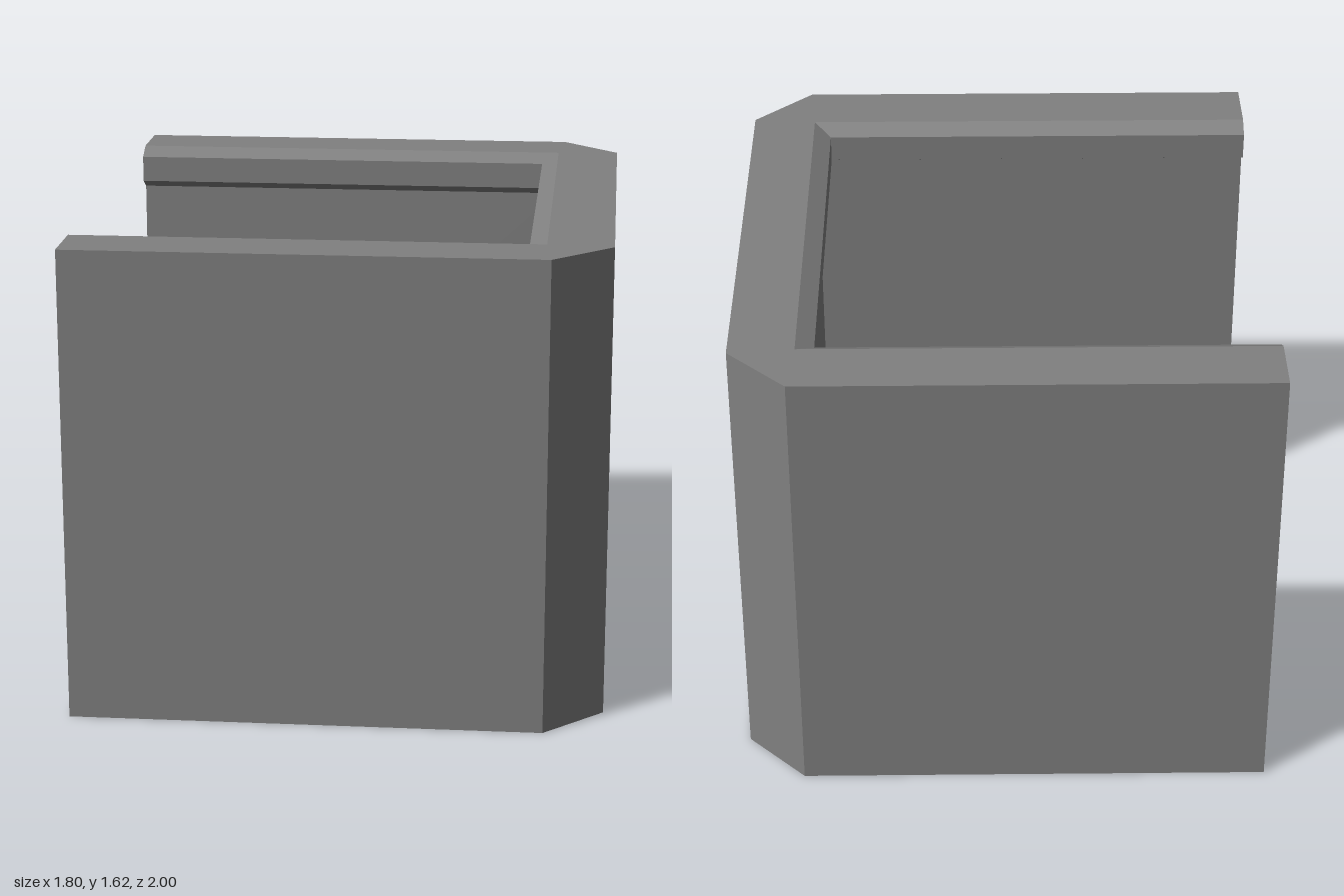
import * as THREE from 'three';

export function createModel() {
  const group = new THREE.Group();
  const grey = new THREE.MeshStandardMaterial({ color: 0x808080 });
  grey.name = 'grey';

  // Wall cross-section as [inset from outer face, height], with a bevelled lip inside the rim
  const profile = [
    [0, 0], [0, 1.62], [0.22, 1.62], [0.28, 1.588], [0.28, 1.495], [0.225, 1.465], [0.225, 0],
  ];
  // Outer outline [x, z] around the U; each cut corner uses two stations
  const outline = [[-0.9, 1], [0.7, 1], [0.9, 0.8], [0.9, -0.8], [0.7, -1], [-0.9, -1]];

  // Inner points of a corner's two stations meet in one mitre
  const rings = outline.map(([x, z]) => profile.map(([inset, y]) => {
    if (inset === 0) return new THREE.Vector3(x, y, z);
    return new THREE.Vector3(x < 0 ? x : 0.9 - inset, y, Math.sign(z) * (1 - inset));
  }));

  const positions = [];
  const triangle = (a, b, c) => {
    if (a.equals(b) || b.equals(c) || a.equals(c)) return;
    for (const p of [a, b, c]) positions.push(p.x, p.y, p.z);
  };

  // Sides between neighbouring cross-sections
  const n = profile.length;
  for (let i = 0; i < rings.length - 1; i++) {
    for (let j = 0; j < n; j++) {
      const k = (j + 1) % n;
      const a = rings[i][j], b = rings[i + 1][j], c = rings[i + 1][k], d = rings[i][k];
      triangle(a, b, c);
      triangle(a, c, d);
    }
  }

  // Flat ends of the two arms
  const section = profile.map(([inset, y]) => new THREE.Vector2(-inset, y));
  const first = rings[0], last = rings[rings.length - 1];
  for (const [a, b, c] of THREE.ShapeUtils.triangulateShape(section, [])) {
    triangle(first[a], first[b], first[c]);
    triangle(last[a], last[c], last[b]);
  }

  const geometry = new THREE.BufferGeometry();
  geometry.setAttribute('position', new THREE.Float32BufferAttribute(positions, 3));
  geometry.computeVertexNormals();
  const walls = new THREE.Mesh(geometry, grey);
  walls.name = 'lippedWalls';
  group.add(walls);
  return group;
}
